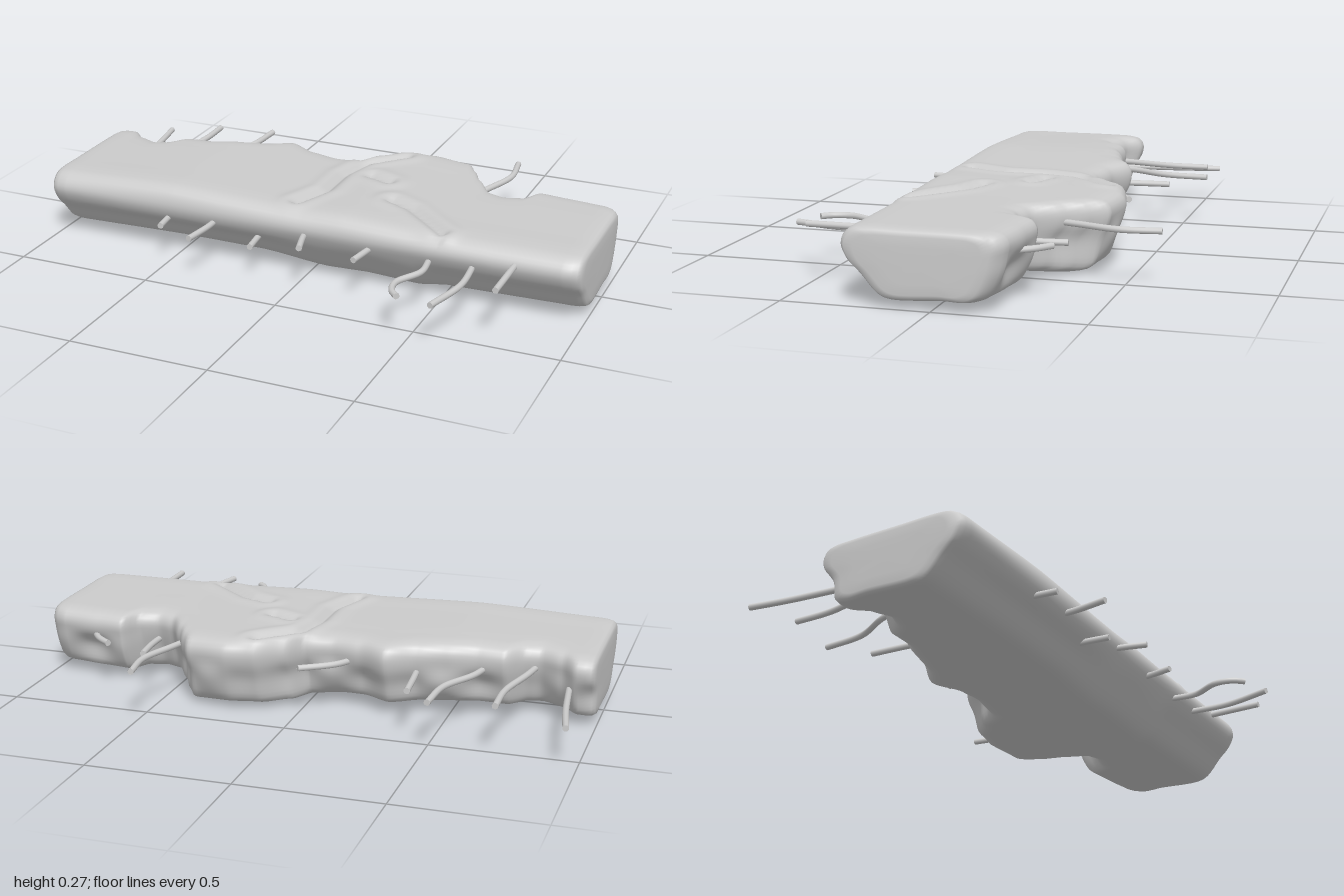
import * as THREE from 'three';

const material = new THREE.MeshStandardMaterial({ color: 0xcccccc, side: THREE.DoubleSide });

// Smooth lookup through [x, value] pairs
function profile(pairs) {
  return (x) => {
    let i = 0;
    while (i < pairs.length - 2 && x > pairs[i + 1][0]) i++;
    const [x0, v0] = pairs[i], [x1, v1] = pairs[i + 1];
    const t = THREE.MathUtils.clamp((x - x0) / (x1 - x0), 0, 1);
    return v0 + (v1 - v0) * (0.5 * t + 0.5 * t * t * (3 - 2 * t));
  };
}

// Broken rear outline, and heights of the upper and lower faces
const backZ = profile([[-1, -0.25], [-0.93, -0.24], [-0.88, -0.19], [-0.8, -0.155], [-0.75, -0.17], [-0.69, -0.23],
  [-0.6, -0.23], [-0.5, -0.26], [-0.4, -0.285], [-0.3, -0.34], [-0.2, -0.29], [-0.1, -0.27], [0, -0.28], [0.05, -0.35],
  [0.14, -0.42], [0.24, -0.44], [0.38, -0.42], [0.42, -0.36], [0.46, -0.29], [0.53, -0.19], [0.59, -0.17],
  [0.66, -0.19], [0.7, -0.26], [0.8, -0.25], [0.95, -0.235], [1, -0.21]]);
const topY = profile([[-1, 0.255], [-0.5, 0.272], [0, 0.26], [0.15, 0.264], [0.5, 0.255], [1, 0.255]]);
const bottomY = profile([[-1, 0.022], [-0.5, 0.032], [-0.2, 0.03], [0.05, 0.008], [0.2, 0.012], [0.4, 0.003],
  [0.5, 0.018], [1, 0.025]]);

// Cracks across the upper face, as [x, z] polylines
const cracks = [
  [[0.15, -0.35], [0.03, -0.23], [0, -0.1], [0, 0.06], [-0.05, 0.2]],
  [[0.1, -0.12], [0.18, -0.09]],
  [[0.25, 0.06], [0.34, 0.1], [0.5, 0.24]],
];
function crackDistance(x, z) {
  let best = 9;
  for (const line of cracks) {
    for (let i = 0; i + 1 < line.length; i++) {
      const [ax, az] = line[i], [bx, bz] = line[i + 1];
      const dx = bx - ax, dz = bz - az;
      const t = THREE.MathUtils.clamp(((x - ax) * dx + (z - az) * dz) / (dx * dx + dz * dz), 0, 1);
      best = Math.min(best, Math.hypot(x - ax - t * dx, z - az - t * dz));
    }
  }
  return best;
}

// Cross-section: undercut sloping front, rough rear
function section(x, count) {
  const b = backZ(x), t = topY(x), u = bottomY(x);
  const rough = 0.012 * Math.sin(x * 17) + 0.008 * Math.sin(x * 31 + 1);
  const points = [
    [0.265, t - 0.006], [0.292, t - 0.025], [0.305, 0.2], [0.285, 0.15], [0.24, u + 0.08], [0.18, u + 0.015],
    [0.14, u], [(0.14 + b) / 2, u + 0.006], [b + 0.1, u + 0.006], [b + 0.06, u + 0.025],
    [b + 0.03 + rough, 0.12], [b + 0.005, 0.18], [b, t - 0.04], [b + 0.015, t - 0.014],
    [b + 0.05, t - 0.003], [b / 2, t], [0.1, t], [0.22, t],
  ].map(([z, y]) => new THREE.Vector3(0, y, z));
  return new THREE.CatmullRomCurve3(points, true, 'centripetal').getSpacedPoints(count).slice(0, count);
}

// Loft the sections along x, rounding and closing both ends
function slabGeometry() {
  const rings = [];
  const rim = [[1, 0], [1, 0.5], [0.999, 0.8], [0.995, 0.92], [0.984, 0.965], [0.965, 0.99]];
  for (const [x, s] of rim) rings.push([-x, s]);
  for (let i = 0; i <= 180; i++) rings.push([-0.94 + 1.88 * i / 180, 1]);
  for (const [x, s] of rim.reverse()) rings.push([x, s]);

  const count = 96, positions = [], index = [];
  rings.forEach(([x, s], i) => {
    const cz = (0.29 + backZ(x)) / 2, cy = 0.14;
    section(x, count).forEach((p, j) => {
      let y = p.y;
      if (y > 0.235) {
        const d = crackDistance(x, p.z);
        y += 0.006 * Math.exp(-(((d - 0.045) / 0.025) ** 2)) - 0.016 * Math.exp(-((d / 0.018) ** 2));
      }
      positions.push(x, cy + (y - cy) * s, cz + (p.z - cz) * s);
      if (i + 1 < rings.length) {
        const k = (j + 1) % count, a = i * count, c = a + count;
        index.push(a + j, a + k, c + j, a + k, c + k, c + j);
      }
    });
  });
  const geometry = new THREE.BufferGeometry();
  geometry.setAttribute('position', new THREE.Float32BufferAttribute(positions, 3));
  geometry.setIndex(index);
  geometry.computeVertexNormals();
  return geometry;
}

// Bent bars: height, then [x, z] path running outwards
const frontBars = [
  [0.15, [-0.525, 0.2], [-0.52, 0.28], [-0.51, 0.36]],
  [0.165, [-0.34, 0.2], [-0.335, 0.32], [-0.35, 0.45]],
  [0.13, [-0.18, 0.18], [-0.17, 0.28], [-0.16, 0.36]],
  [0.178, [0, 0.2], [0.02, 0.31], [0.045, 0.4]],
  [0.165, [0.265, 0.2], [0.255, 0.29], [0.24, 0.39]],
  [0.16, [0.45, 0.2], [0.475, 0.31], [0.478, 0.38], [0.43, 0.48], [0.44, 0.545], [0.47, 0.58]],
  [0.165, [0.61, 0.2], [0.63, 0.32], [0.635, 0.44], [0.595, 0.61]],
  [0.203, [0.775, 0.2], [0.775, 0.35], [0.775, 0.5]],
];
const backBars = [
  [0.135, [-0.9, -0.12], [-0.915, -0.26], [-0.935, -0.42], [-0.96, -0.56]],
  [0.18, [-0.79, -0.1], [-0.77, -0.22], [-0.73, -0.4], [-0.73, -0.55]],
  [0.18, [-0.63, -0.15], [-0.6, -0.28], [-0.53, -0.42], [-0.515, -0.585]],
  [0.165, [-0.39, -0.2], [-0.405, -0.34], [-0.415, -0.46]],
  [0.18, [-0.19, -0.2], [-0.13, -0.31], [-0.015, -0.395]],
  [0.188, [0.43, -0.2], [0.47, -0.33], [0.515, -0.48], [0.5, -0.62]],
  [0.15, [0.595, -0.1], [0.595, -0.23], [0.585, -0.33]],
  [0.17, [0.83, -0.2], [0.78, -0.27], [0.725, -0.315]],
];

function bar([y, ...path]) {
  const curve = new THREE.CatmullRomCurve3(path.map(([x, z]) => new THREE.Vector3(x, y, z)));
  const group = new THREE.Group();
  const radius = 0.011;
  group.add(new THREE.Mesh(new THREE.TubeGeometry(curve, 24, radius, 10), material));
  // Flat cut end
  const cap = new THREE.Mesh(new THREE.CircleGeometry(radius, 10), material);
  cap.position.copy(curve.getPoint(1));
  cap.lookAt(curve.getPoint(1).add(curve.getTangent(1)));
  cap.name = 'barEnd';
  group.add(cap);
  return group;
}

export function createModel() {
  const model = new THREE.Group();
  model.name = 'brokenConcreteSlab';
  const slab = new THREE.Mesh(slabGeometry(), material);
  slab.name = 'slab';
  model.add(slab);
  for (const [name, list] of [['frontBar', frontBars], ['backBar', backBars]]) {
    list.forEach((data, i) => {
      const item = bar(data);
      item.name = name + (i + 1);
      model.add(item);
    });
  }
  return model;
}
